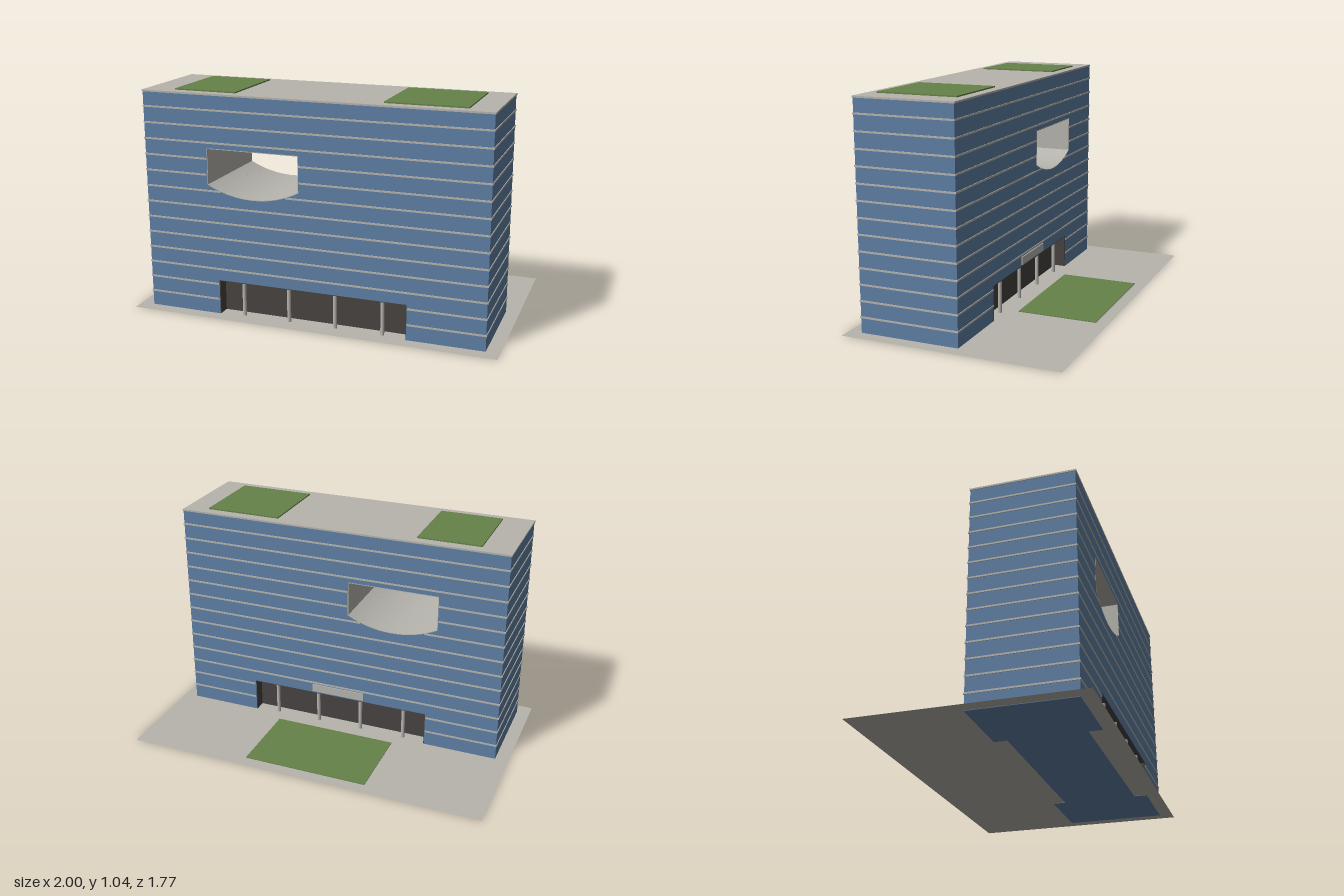
import * as THREE from 'three';

const mat = (name, color, side = THREE.FrontSide) => {
  const m = new THREE.MeshStandardMaterial({ color, side });
  m.name = name;
  return m;
};

export function createModel() {
  const glass = mat('blue glass', 0x5f80a5);
  const concrete = mat('concrete', 0xb6b4ad);
  const paving = mat('paving', 0xb6b4ad, THREE.DoubleSide);
  const dark = mat('dark lobby', 0x474341);
  const lawn = mat('lawn green', 0x66824a);

  const L = 0.8, H = 1.035, Z0 = -0.021, Z1 = 0.446, ZC = (Z0 + Z1) / 2;
  const FLOORS = 14, STEP = H / FLOORS;
  const LOBBY = 0.448, LOBBY_H = 0.167, RECESS = 0.06;
  const HOLE_X = -0.27, HOLE_W = 0.22, HOLE_TOP = 0.788, HOLE_SPRING = 0.62, HOLE_BOTTOM = 0.565;
  const SAG = HOLE_SPRING - HOLE_BOTTOM;
  const R = (HOLE_W ** 2 + SAG ** 2) / (2 * SAG), ARC_Y = HOLE_BOTTOM + R;

  const model = new THREE.Group();
  model.name = 'officeBuilding';
  const site = new THREE.Group();
  site.name = 'site';
  site.rotation.y = -0.557;
  model.add(site);

  const add = (name, geo, material, x = 0, y = 0, z = 0) => {
    const m = new THREE.Mesh(geo, material);
    m.name = name;
    m.position.set(x, y, z);
    site.add(m);
    return m;
  };
  // Box given by its limits on each axis
  const box = (name, material, x0, x1, y0, y1, z0, z1) =>
    add(name, new THREE.BoxGeometry(x1 - x0, y1 - y0, z1 - z0), material,
      (x0 + x1) / 2, (y0 + y1) / 2, (z0 + z1) / 2);

  // Sky opening outline: straight top and sides, bowed bottom
  const traceOpening = (path, inset = 0) => {
    const w = HOLE_W - inset, r = R - inset, a = Math.asin(w / r);
    path.moveTo(HOLE_X - w, HOLE_TOP - inset);
    path.lineTo(HOLE_X - w, ARC_Y - r * Math.cos(a));
    path.absarc(HOLE_X, ARC_Y, r, -Math.PI / 2 - a, -Math.PI / 2 + a, false);
    path.lineTo(HOLE_X + w, HOLE_TOP - inset);
    path.closePath();
    return path;
  };
  const extrude = (shape, depth) =>
    new THREE.ExtrudeGeometry(shape, { depth, bevelEnabled: false, curveSegments: 16 });

  // Tower in three layers; the outer two are notched for the lobbies
  const layer = (name, notched, z0, z1) => {
    const pts = [[-L, 0]];
    if (notched) pts.push([-LOBBY, 0], [-LOBBY, LOBBY_H], [LOBBY, LOBBY_H], [LOBBY, 0]);
    pts.push([L, 0], [L, H - 0.008], [-L, H - 0.008]);
    const s = new THREE.Shape(pts.map(p => new THREE.Vector2(...p)));
    s.holes.push(traceOpening(new THREE.Path()));
    add(name, extrude(s, z1 - z0), glass, 0, 0, z0);
  };
  layer('towerBack', true, Z0, Z0 + RECESS);
  layer('towerCore', false, Z0 + RECESS, Z1 - RECESS);
  layer('towerFront', true, Z1 - RECESS, Z1);

  // Concrete lining of the sky opening
  const lining = traceOpening(new THREE.Shape());
  lining.holes.push(traceOpening(new THREE.Path(), 0.003));
  add('openingLining', extrude(lining, Z1 - Z0 + 0.002), concrete, 0, 0, Z0 - 0.001);

  // Floor slab edges, broken at the lobbies and the sky opening
  const P = 0.003, T = 0.004;
  for (let i = 1; i < FLOORS; i++) {
    const y = i * STEP;
    let gap = null;
    if (y < LOBBY_H) gap = [-LOBBY, LOBBY];
    else if (y > HOLE_BOTTOM && y < HOLE_TOP) {
      const w = y < HOLE_SPRING ? Math.sqrt(R * R - (ARC_Y - y) ** 2) : HOLE_W;
      gap = [HOLE_X - w, HOLE_X + w];
    }
    const spans = gap ? [[-L - P, gap[0] - 0.002], [gap[1] + 0.002, L + P]] : [[-L - P, L + P]];
    for (const [a, b] of spans) box('floorSlab', concrete, a, b, y - T, y + T, Z0 - P, Z1 + P);
  }
  box('roofSlab', concrete, -L - P, L + P, H - 0.008, H, Z0 - P, Z1 + P);

  // Lobbies: dark recess linings and four columns, front and back
  for (const [face, dir] of [[Z1, -1], [Z0, 1]]) {
    const inner = face + dir * RECESS;
    const lo = Math.min(face, inner), hi = Math.max(face, inner), t = 0.003;
    box('lobbyWall', dark, -LOBBY, LOBBY, 0.003, LOBBY_H, inner - t, inner + t);
    box('lobbyCeiling', dark, -LOBBY, LOBBY, LOBBY_H - t, LOBBY_H, lo, hi);
    for (const s of [-1, 1]) {
      const x = s * (LOBBY - t / 2);
      box('lobbySide', dark, x - t / 2, x + t / 2, 0.003, LOBBY_H, lo, hi);
    }
    for (let i = 0; i < 4; i++) {
      add('column', new THREE.CylinderGeometry(0.009, 0.009, LOBBY_H - 0.004, 16), concrete,
        -0.333 + i * 0.222, LOBBY_H / 2, face + dir * 0.021);
    }
  }

  // Blank panel above the rear lobby
  box('entrancePanel', concrete, -0.134, 0.134, 0.175, 0.213, Z0 - 0.006, Z0 + 0.001);

  // Ground and planted areas
  const ground = add('ground', new THREE.PlaneGeometry(1.726, 1.016), paving, 0, 0.002, 0);
  ground.rotation.x = -Math.PI / 2;
  box('groundLawn', lawn, -0.302, 0.295, 0.003, 0.006, -0.452, -0.076);
  box('roofLawn', lawn, -0.66, -0.362, H - 0.002, H + 0.006, ZC - 0.189, ZC + 0.189);
  box('roofLawn', lawn, 0.321, 0.685, H - 0.002, H + 0.006, ZC - 0.189, ZC + 0.189);

  return model;
}
